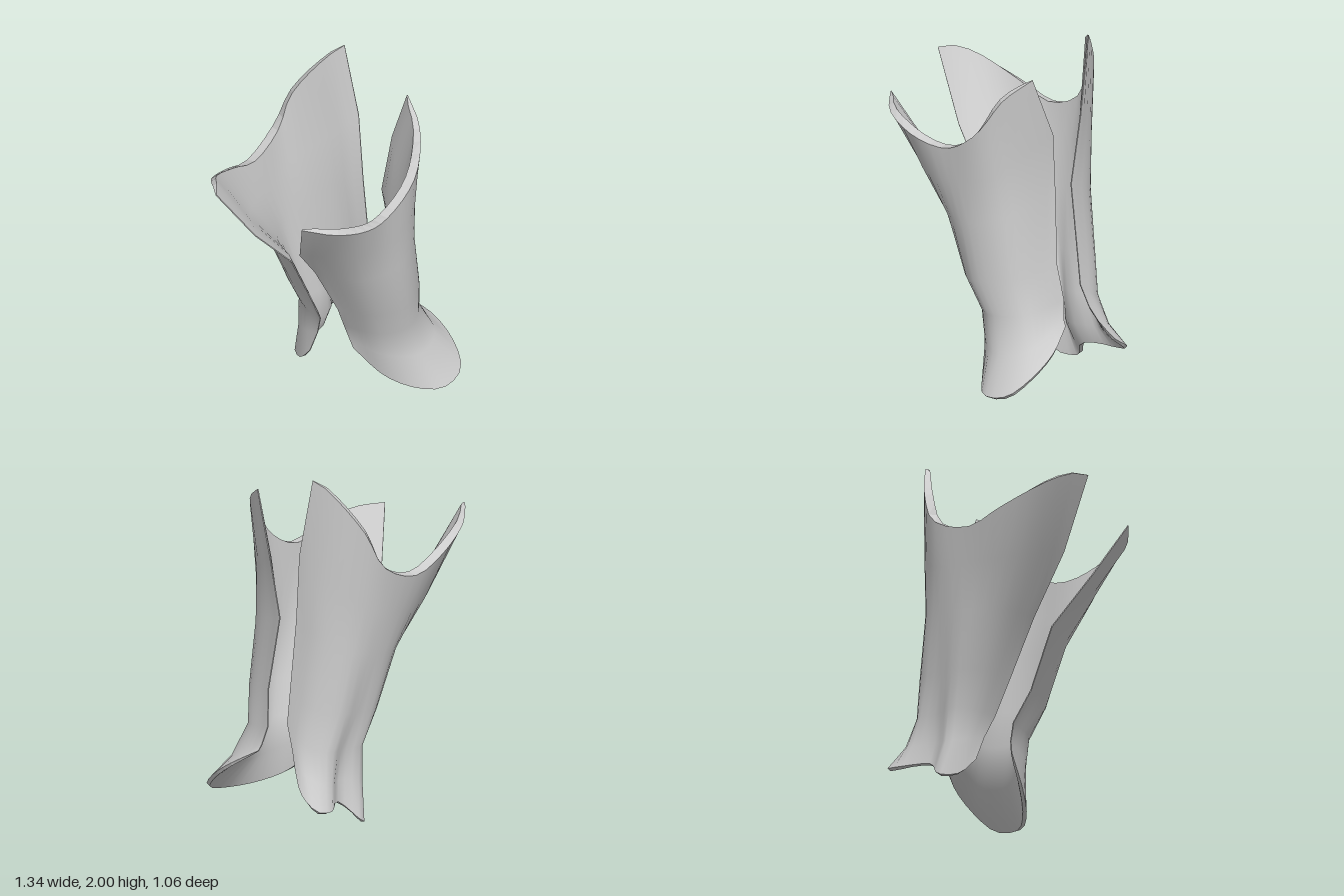
import * as THREE from 'three';

const COLS = 20;

// Cross-sections from rim to ankle; each runs from the right edge to the left edge.
const frontSections = [
  [[-.555, 1.53, .25], [-.43, 1.485, .39], [-.2, 1.415, .452], [.02, 1.39, .435], [.2, 1.48, .442], [.3, 1.58, .425], [.4, 1.75, .355], [.485, 1.85, .21]],
  [[-.4, 1.22, .12], [-.2, 1.2, .37], [.06, 1.2, .425], [.31, 1.27, .39], [.52, 1.5, .08]],
  [[-.17, .95, .055], [-.07, .95, .31], [.13, .97, .41], [.36, 1.03, .35], [.49, 1.14, .03]],
  [[0, .62, .085], [.06, .63, .3], [.22, .65, .41], [.43, .68, .33], [.54, .73, .07]],
  [[.1, .44, .055], [.15, .44, .26], [.29, .45, .36], [.48, .47, .29], [.57, .52, .045]],
  [[.13, .34, .07], [.18, .29, .27], [.36, .25, .395], [.56, .29, .34], [.59, .42, .07]],
  [[.14, .28, .09], [.2, .13, .27], [.3, .06, .43], [.41, .045, .52], [.57, .08, .515], [.65, .17, .41], [.672, .28, .25], [.61, .385, .075]],
];

const backSections = [
  [[-.67, 1.62, -.26], [-.61, 1.625, -.325], [-.5, 1.57, -.42], [-.24, 1.46, -.505], [-.03, 1.395, -.52], [.22, 1.5, -.52], [.32, 1.71, -.47], [.46, 1.97, -.28], [.495, 2, -.235]],
  [[-.43, 1.25, -.17], [-.24, 1.2, -.39], [.02, 1.2, -.48], [.24, 1.24, -.475], [.42, 1.38, -.34], [.515, 1.55, -.15]],
  [[-.17, .95, -.105], [-.09, .95, -.31], [.09, .95, -.43], [.33, 1, -.41], [.45, 1.08, -.28], [.49, 1.15, -.1]],
  [[0, .62, -.105], [.05, .62, -.28], [.16, .62, -.385], [.28, .63, -.37], [.4, .65, -.37], [.52, .68, -.25], [.54, .74, -.1]],
  [[.1, .42, -.11], [.14, .42, -.25], [.23, .42, -.35], [.34, .42, -.32], [.45, .43, -.345], [.55, .47, -.23], [.56, .57, -.1]],
  [[.14, .28, -.16], [.17, .24, -.28], [.24, .22, -.36], [.36, .25, -.31], [.5, .25, -.375], [.59, .31, -.28], [.575, .43, -.155]],
  [[.15, .13, -.22], [.195, .02, -.32], [.27, .005, -.41], [.39, .13, -.33], [.53, .12, -.42], [.63, .14, -.41], [.64, .22, -.29], [.6, .34, -.2]],
];

// Grid surface; flip reverses the winding.
function sheet(points, rows, flip) {
  const index = [];
  for (let r = 0; r < rows - 1; r++) {
    for (let c = 0; c < COLS; c++) {
      const a = r * (COLS + 1) + c, b = a + COLS + 1;
      for (const [i, j, k] of [[a, b, a + 1], [a + 1, b, b + 1]]) index.push(i, ...(flip ? [k, j] : [j, k]));
    }
  }
  const g = new THREE.BufferGeometry().setFromPoints(points);
  g.setIndex(index);
  g.computeVertexNormals();
  return g;
}

// Flat border joining the outer and inner sheets.
function border(outer, inner, rows, flip) {
  const loop = [], at = (r, c) => r * (COLS + 1) + c;
  for (let r = 0; r < rows - 1; r++) loop.push(at(r, 0));
  for (let c = 0; c < COLS; c++) loop.push(at(rows - 1, c));
  for (let r = rows - 1; r > 0; r--) loop.push(at(r, COLS));
  for (let c = COLS; c > 0; c--) loop.push(at(0, c));
  const tris = [];
  loop.forEach((a, i) => {
    const b = loop[(i + 1) % loop.length];
    const q = [outer[a], inner[a], inner[b], outer[b]];
    if (flip) q.reverse();
    tris.push(q[0], q[1], q[2], q[0], q[2], q[3]);
  });
  const g = new THREE.BufferGeometry().setFromPoints(tris);
  g.computeVertexNormals();
  return g;
}

// One curved plate, thick in the middle, thin at the side edges and the ankle lip.
function plate(name, sections, flip, material) {
  const rows = sections.length;
  const outer = sections.flatMap(s =>
    new THREE.CatmullRomCurve3(s.map(p => new THREE.Vector3(...p))).getSpacedPoints(COLS));
  const outerGeo = sheet(outer, rows, flip);
  const normals = outerGeo.attributes.normal;
  const inner = outer.map((p, i) => {
    const r = Math.floor(i / (COLS + 1)), u = (i % (COLS + 1)) / COLS;
    const t = .006 + (r === rows - 1 ? .018 : .05) * Math.sqrt(Math.max(0, Math.sin(Math.PI * u)));
    return new THREE.Vector3().fromBufferAttribute(normals, i).multiplyScalar(-t).add(p);
  });
  const group = new THREE.Group();
  group.name = name;
  const parts = {
    OuterFace: outerGeo,
    InnerFace: sheet(inner, rows, !flip),
    Edge: border(outer, inner, rows, flip),
  };
  for (const [part, geo] of Object.entries(parts)) {
    const mesh = new THREE.Mesh(geo, material);
    mesh.name = name + part;
    group.add(mesh);
  }
  return group;
}

export function createModel() {
  const material = new THREE.MeshStandardMaterial({ color: 0xcccccc, side: THREE.DoubleSide });
  const model = new THREE.Group();
  model.name = 'legGuard';
  model.add(
    plate('shinPlate', frontSections, false, material),
    plate('calfPlate', backSections, true, material),
  );
  return model;
}
